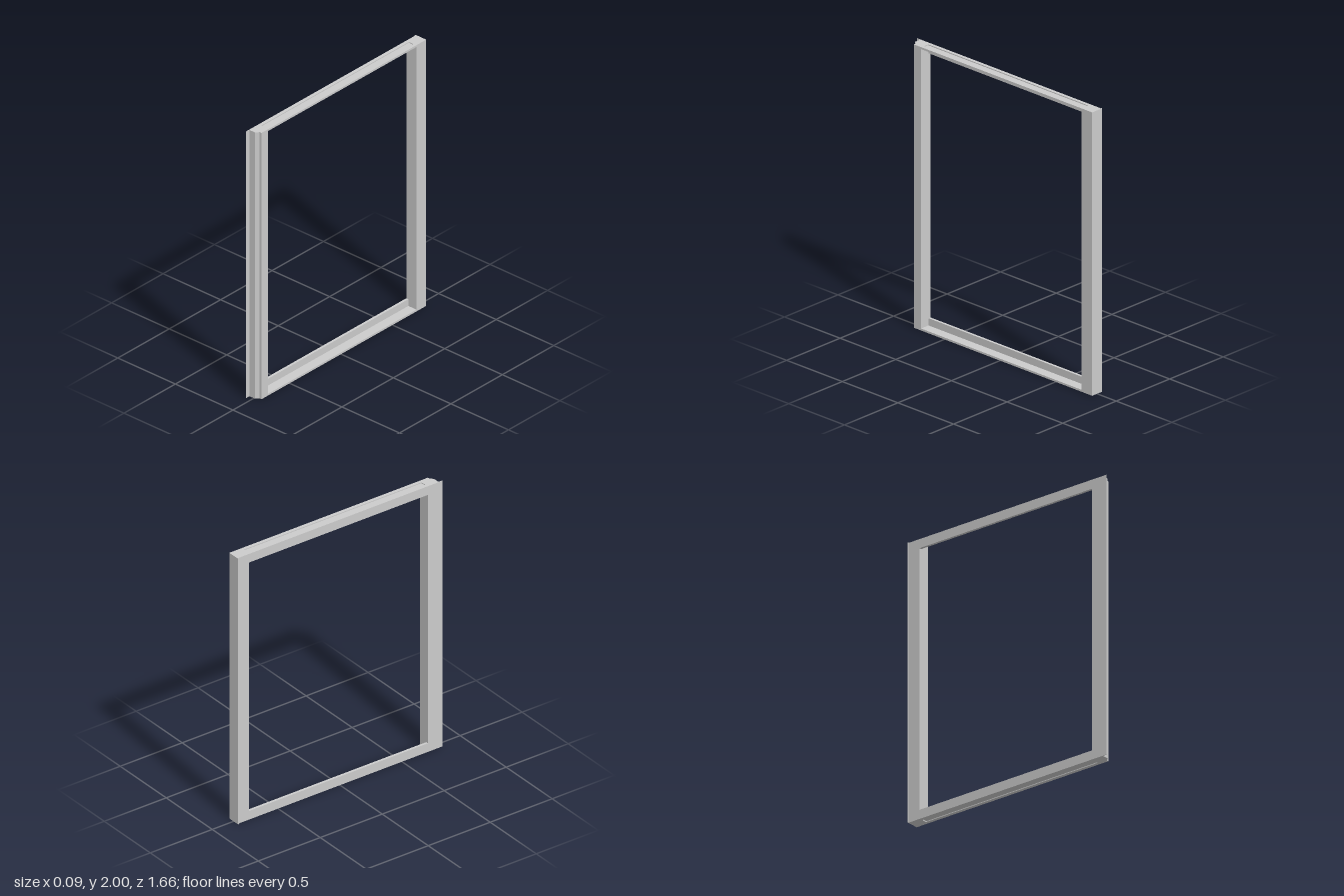
import * as THREE from 'three';

const material = new THREE.MeshStandardMaterial({ color: 0xcccccc, flatShading: true });
const HEIGHT = 2, X0 = -0.042, X1 = 0.046;   // overall height, body faces
const Z0 = -0.733, Z1 = 0.709;               // opening between the stiles

// Upright bar: plan outline given as [x, z], extruded along y
function upright(name, outline) {
  const shape = new THREE.Shape(outline.map(([x, z]) => new THREE.Vector2(x, -z)));
  const geo = new THREE.ExtrudeGeometry(shape, { depth: HEIGHT, bevelEnabled: false });
  geo.rotateX(-Math.PI / 2);
  const mesh = new THREE.Mesh(geo, material);
  mesh.name = name;
  return mesh;
}

function box(name, x0, x1, y0, y1, z0, z1) {
  const mesh = new THREE.Mesh(new THREE.BoxGeometry(x1 - x0, y1 - y0, z1 - z0), material);
  mesh.position.set((x0 + x1) / 2, (y0 + y1) / 2, (z0 + z1) / 2);
  mesh.name = name;
  return mesh;
}

// Rounded rectangle traced into a shape or a hole
function roundedRect(path, x0, x1, y0, y1, r) {
  path.moveTo(x0 + r, y0);
  path.lineTo(x1 - r, y0).quadraticCurveTo(x1, y0, x1, y0 + r);
  path.lineTo(x1, y1 - r).quadraticCurveTo(x1, y1, x1 - r, y1);
  path.lineTo(x0 + r, y1).quadraticCurveTo(x0, y1, x0, y1 - r);
  path.lineTo(x0, y0 + r).quadraticCurveTo(x0, y0, x0 + r, y0);
  return path;
}

// L-section rail: outer plate with a long shallow groove, and a stop on the -x side.
// Built as the bottom rail, with the groove underneath.
function makeRail(name) {
  const rail = new THREE.Group();
  rail.name = name;
  const skin = 0.006, plate = 0.014;
  const face = new THREE.Shape([[X0, -Z1], [X1, -Z1], [X1, -Z0], [X0, -Z0]]
    .map(([x, y]) => new THREE.Vector2(x, y)));
  face.holes.push(roundedRect(new THREE.Path(), -0.018, 0.022, -Z1 + 0.003, -Z0 - 0.003, 0.008));
  const geo = new THREE.ExtrudeGeometry(face, { depth: skin, bevelEnabled: false, curveSegments: 4 });
  geo.rotateX(-Math.PI / 2);
  const grooved = new THREE.Mesh(geo, material);
  grooved.name = 'groovedFace';
  rail.add(grooved,
    box('plate', X0, X1, skin, plate, Z0, Z1),
    box('stop', X0, -0.024, plate, 0.065, Z0, Z1));
  return rail;
}

export function createModel() {
  const model = new THREE.Group();
  model.name = 'doorFrame';

  // Front stile: bevelled meeting edge with a thin sealing fin
  model.add(upright('frontStile', [
    [X0, Z1], [X0, 0.828], [-0.038, 0.828], [-0.038, 0.797], [0.01, 0.797],
    [0.031, 0.774], [X1, 0.774], [X1, Z1],
  ]));

  // Rear stile: plain bar with a small lip on its outer corner
  model.add(upright('rearStile', [
    [X0, Z0], [X1, Z0], [X1, -0.828], [-0.048, -0.828], [-0.048, -0.821], [X0, -0.821],
  ]));

  // Rails: the top one is the bottom one turned over about the length axis,
  // with the cross-section mirrored so both stops stay on the -x side
  const bottom = makeRail('bottomRail');
  const top = makeRail('topRail');
  top.scale.y = -1;
  top.position.y = HEIGHT;
  model.add(bottom, top);

  return model;
}
